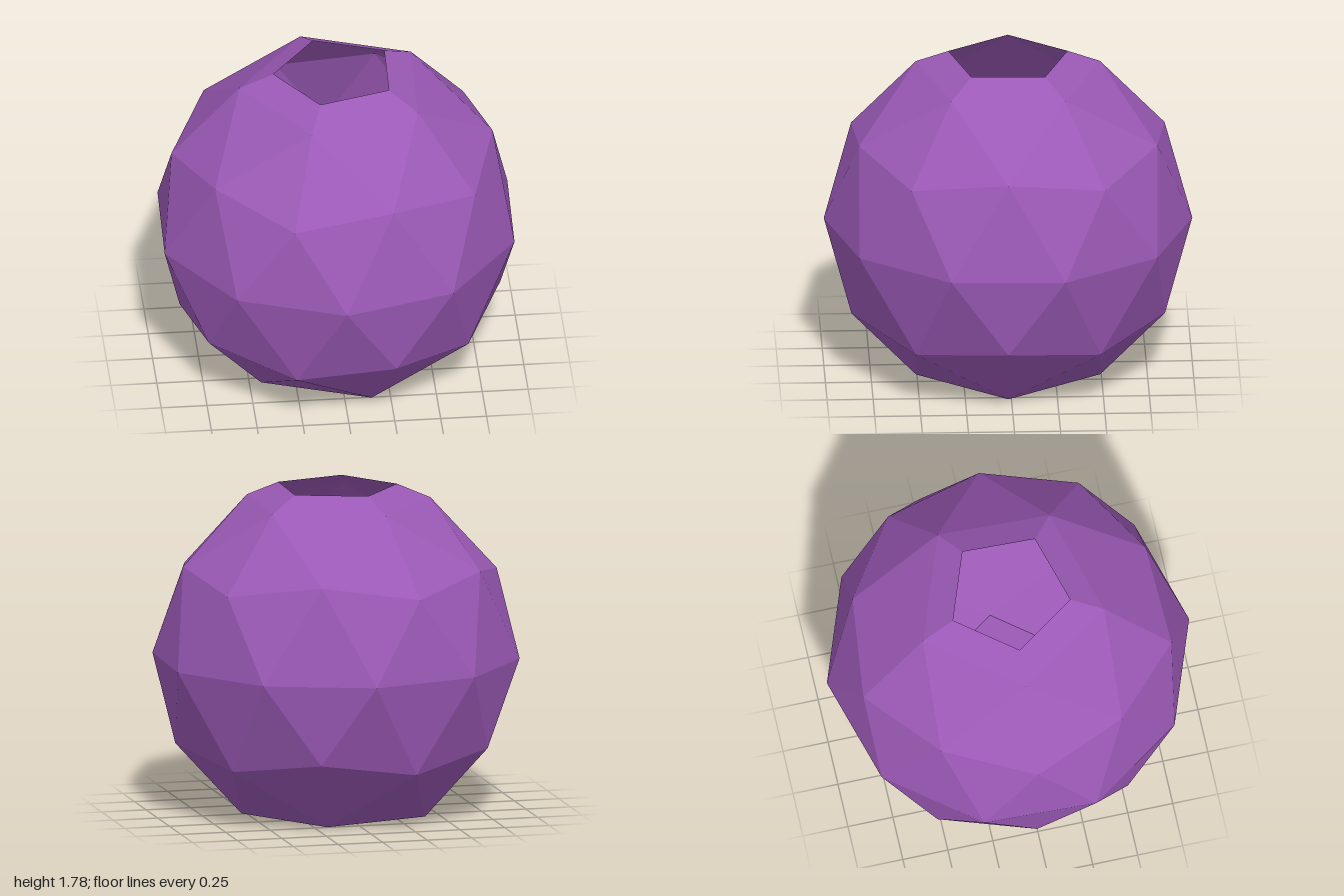
import * as THREE from 'three';

const CENTRE_Y = 0.851;
const TWIST = Math.PI + 0.031; // slight turn about the vertical axis

// Ring of points: radii and heights alternate, first point `step` degrees past the twist
function ring(count, startDeg, radii, heights) {
  return Array.from({ length: count }, (_, i) => {
    const a = TWIST + THREE.MathUtils.degToRad(startDeg + (i * 360) / count);
    const r = radii[i % radii.length];
    return new THREE.Vector3(r * Math.cos(a), heights[i % heights.length], r * Math.sin(a));
  });
}

function facetedMesh(name, triangles, material) {
  const geometry = new THREE.BufferGeometry().setFromPoints(triangles);
  geometry.computeVertexNormals(); // unshared corners give flat facets
  const mesh = new THREE.Mesh(geometry, material);
  mesh.name = name;
  return mesh;
}

export function createModel() {
  const purple = new THREE.MeshStandardMaterial({
    color: 0x9b59b6, flatShading: true, side: THREE.DoubleSide,
  });
  purple.name = 'purple';

  // Rings of a twice-split icosahedron, from the mouth down to the base
  const y = (h) => CENTRE_Y + h;
  const mouth = ring(5, 0, [0.34], [1.784]);
  const shoulder = ring(5, 0, [0.5257], [y(0.8507)]);
  const upper = ring(10, 0, [0.8944, 0.8507], [y(0.4472), y(0.5257)]);
  const equator = ring(10, 18, [1], [y(0)]);
  const lower = ring(10, 0, [0.8507, 0.8944], [y(-0.5257), y(-0.4472)]);
  const base = ring(5, 36, [0.5257], [0]);

  const rim = [], shell = [], floor = [];

  // Five-sided bands
  for (let k = 0; k < 5; k++) {
    const n = (k + 1) % 5;
    const i = 2 * k, j = i + 1, l = (i + 2) % 10, m = (i + 3) % 10;
    // sloping collar round the open mouth
    rim.push(mouth[k], mouth[n], shoulder[k], mouth[n], shoulder[n], shoulder[k]);
    // shoulder to upper ring
    shell.push(shoulder[k], shoulder[n], upper[j]);
    shell.push(shoulder[k], upper[j], upper[i]);
    shell.push(shoulder[n], upper[l], upper[j]);
    // lower ring to base
    shell.push(base[k], lower[l], base[n]);
    shell.push(base[k], lower[j], lower[l]);
    shell.push(base[n], lower[l], lower[m]);
    // flat floor
    floor.push(new THREE.Vector3(0, 0, 0), base[k], base[n]);
  }

  // Two zigzag bands either side of the equator
  for (let j = 0; j < 10; j++) {
    const n = (j + 1) % 10;
    shell.push(upper[j], upper[n], equator[j]);
    shell.push(upper[n], equator[n], equator[j]);
    shell.push(equator[j], equator[n], lower[n]);
    shell.push(equator[j], lower[n], lower[j]);
  }

  const group = new THREE.Group();
  group.name = 'facetedBowl';
  group.add(
    facetedMesh('mouthCollar', rim, purple),
    facetedMesh('shell', shell, purple),
    facetedMesh('floor', floor, purple),
  );
  return group;
}
